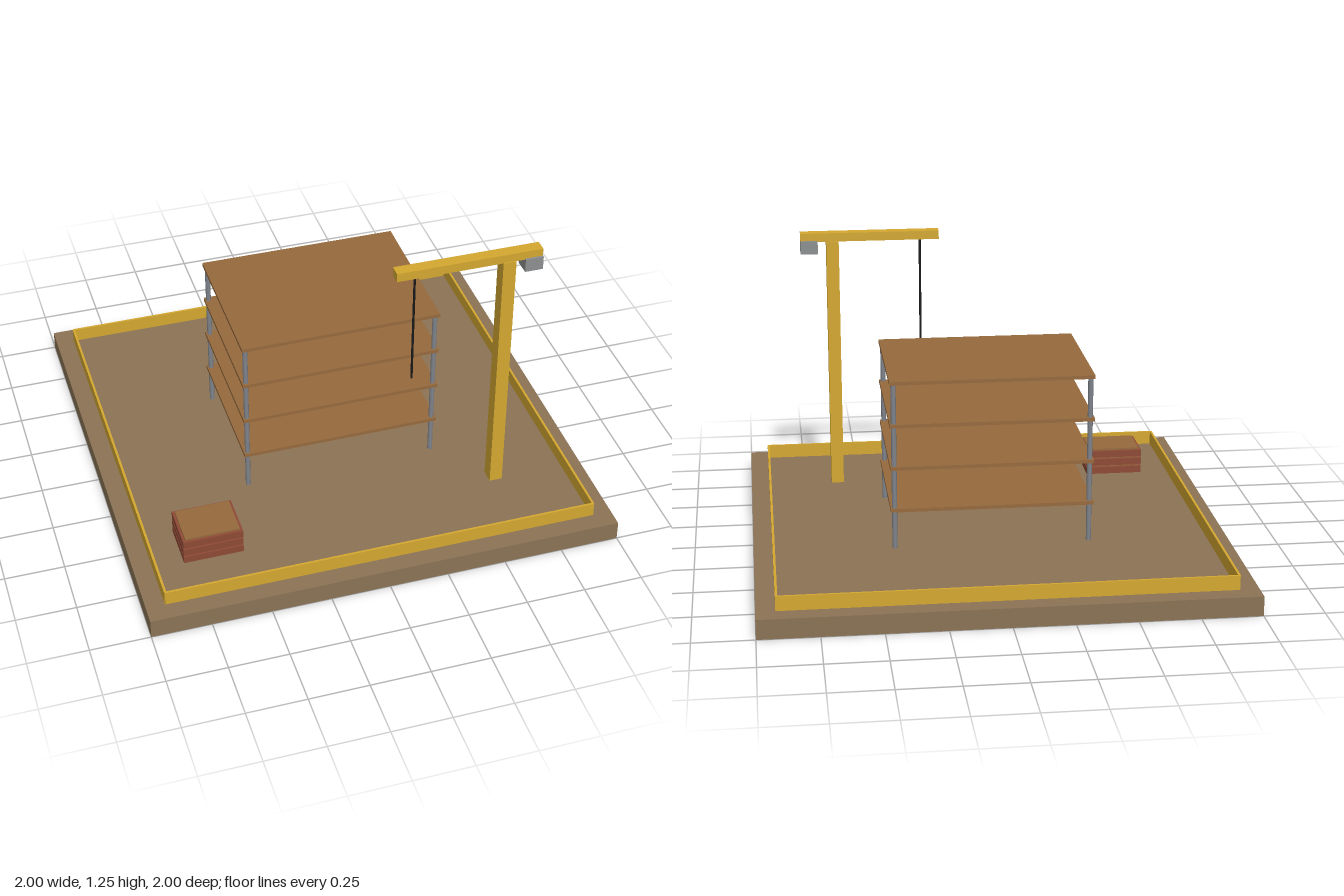
import * as THREE from 'three';

const mat = (color) => new THREE.MeshStandardMaterial({ color });

export function createModel() {
  const model = new THREE.Group();
  const soil = mat(0x8b7355), yellow = mat(0xd4a830), timber = mat(0x966a3d);
  const brick = mat(0x8f4a35), steel = mat(0x80858c), weight = mat(0x8c8f90), black = mat(0x1a1a1a);

  const group = (name) => {
    const g = new THREE.Group();
    g.name = name;
    model.add(g);
    return g;
  };
  const add = (parent, name, geometry, material, x, y, z) => {
    const mesh = new THREE.Mesh(geometry, material);
    mesh.name = name;
    mesh.position.set(x, y, z);
    parent.add(mesh);
  };
  // Box given by its bottom height
  const box = (parent, name, material, w, h, d, x, bottom, z) =>
    add(parent, name, new THREE.BoxGeometry(w, h, d), material, x, bottom + h / 2, z);

  // Ground slab
  const ground = 0.083;
  box(model, 'ground', soil, 2, ground, 2, 0, 0, 0);

  // Thin fence round the site
  const fence = group('fence');
  for (const s of [-1, 1]) {
    box(fence, 'fencePanel', yellow, 1.84, 0.061, 0.01, 0, ground, s * 0.917);
    box(fence, 'fenceSidePanel', yellow, 0.01, 0.061, 1.83, s * 0.917, ground, 0);
  }

  // Building frame: four floors on corner columns
  const building = group('building');
  for (let i = 0; i < 4; i++)
    box(building, 'floor', timber, 0.853, 0.015, 0.65, 0, 0.246 + i * 0.184, 0);
  const columnHeight = 0.806 - ground;
  const column = new THREE.CylinderGeometry(0.011, 0.011, columnHeight, 8);
  for (const x of [-0.41, 0.41])
    for (const z of [-0.307, 0.307])
      add(building, 'column', column, steel, x, ground + columnHeight / 2, z);

  // Crane
  const crane = group('crane');
  const craneZ = 0.56;
  box(crane, 'mast', yellow, 0.055, 1.21 - ground, 0.061, 0.61, ground, craneZ);
  box(crane, 'jib', yellow, 0.612, 0.038, 0.051, 0.445, 1.208, craneZ);
  box(crane, 'counterweight', weight, 0.076, 0.058, 0.07, 0.713, 1.155, craneZ);
  add(crane, 'cable', new THREE.CylinderGeometry(0.005, 0.005, 0.51, 8), black, 0.222, 0.955, craneZ);

  // Brick stack with a slightly smaller board over each layer
  const stack = group('brickStack');
  for (let i = 0; i < 3; i++) {
    const y = ground + i * 0.039;
    box(stack, 'brickLayer', brick, 0.252, 0.031, 0.2, -0.665, y, 0.61);
    box(stack, 'board', timber, 0.23, 0.008, 0.178, -0.665, y + 0.031, 0.61);
  }
  return model;
}
